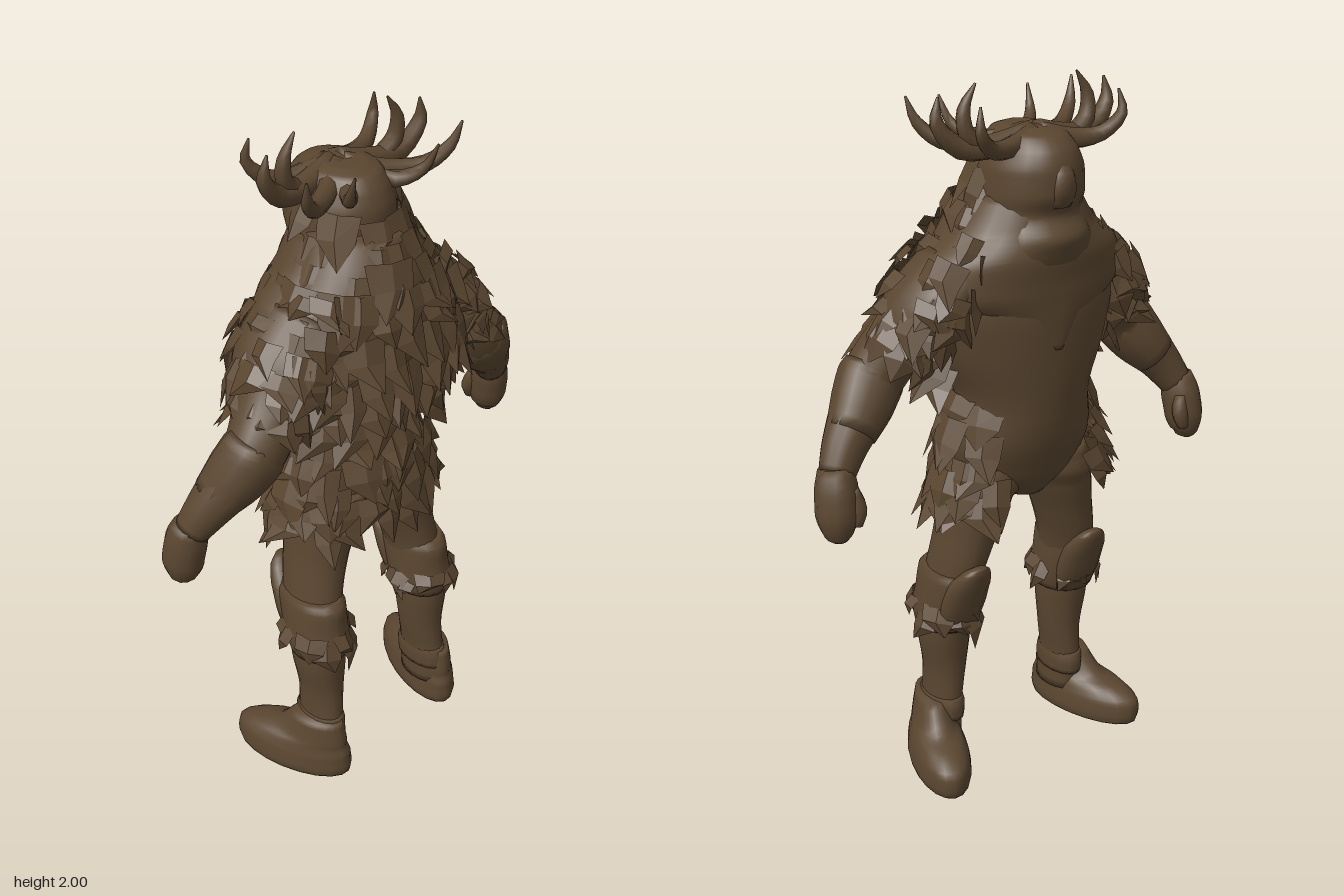
import * as THREE from 'three';

const fur = new THREE.MeshStandardMaterial({ color: 0x5a4630, side: THREE.DoubleSide });
fur.name = 'dark brown';

// Small seeded generator for the irregular fur
let seed = 7;
const rnd = () => (seed = (seed * 16807) % 2147483647) / 2147483647;
const vec = (x, y, z) => new THREE.Vector3(x, y, z);

function addMesh(parent, name, geometry) {
  const mesh = new THREE.Mesh(geometry, fur);
  mesh.name = name;
  parent.add(mesh);
  return mesh;
}

// Smooth closed body through elliptical rings [x, y, z, radius across, radius deep]
function loft(rings, { side = 1, sides = 20, steps = 5, level = false } = {}) {
  const centre = new THREE.CatmullRomCurve3(rings.map(r => vec(r[0] * side, r[1], r[2])));
  const radius = new THREE.CatmullRomCurve3(rings.map(r => vec(r[3], r[4], 0)));
  const count = (rings.length - 1) * steps;
  const pos = [], index = [];
  for (let i = -1; i <= count + 1; i++) {
    const t = Math.min(1, Math.max(0, i / count));
    const c = centre.getPoint(t), r = radius.getPoint(t);
    if (i < 0 || i > count) r.set(0, 0, 0);
    const d = level ? vec(0, 1, 0) : centre.getTangent(t);
    const v = vec(0, 0, 1).addScaledVector(d, -d.z).normalize();
    const u = d.clone().cross(v);
    for (let j = 0; j < sides; j++) {
      const a = (j / sides) * Math.PI * 2;
      const p = c.clone().addScaledVector(u, r.x * Math.cos(a)).addScaledVector(v, r.y * Math.sin(a));
      pos.push(p.x, p.y, p.z);
    }
  }
  for (let i = 0; i < count + 2; i++) {
    for (let j = 0; j < sides; j++) {
      const a = i * sides + j, b = i * sides + (j + 1) % sides;
      index.push(a, a + sides, b, b, a + sides, b + sides);
    }
  }
  const g = new THREE.BufferGeometry();
  g.setAttribute('position', new THREE.Float32BufferAttribute(pos, 3));
  g.setIndex(index);
  g.computeVertexNormals();
  return g;
}

// One ridged pointed lock of fur, lying on a surface and lifting at its tip
function tuft(out, base, normal, down, length, width, lift) {
  const across = normal.clone().cross(down).normalize();
  const at = (s, l, n) => base.clone().addScaledVector(across, s).addScaledVector(down, l).addScaledVector(normal, n);
  const l = at(-width / 2, 0, -0.015), r = at(width / 2, 0, -0.015);
  const top = at(0, 0, 0.004), ridge = at(0, length * 0.45, 0.02);
  const bl = at(-width * 0.45, length * 0.5, 0.004), br = at(width * 0.45, length * 0.5, 0.004);
  const tip = at((rnd() - 0.5) * width * 1.1, length, lift);
  for (const p of [l, bl, top, top, bl, ridge, top, ridge, r, r, ridge, br, bl, tip, ridge, ridge, tip, br]) {
    out.push(p.x, p.y, p.z);
  }
}

// Rows of locks; each row is [x, y, z, rx, rz, half angle measured from +z]
function furRows(rows, { side = 1, spacing = 0.08, length = 0.12, width = 0.11, lift = 0.032, lean = null } = {}) {
  const out = [];
  for (const [x, y, z, rx, rz, half] of rows) {
    const n = Math.max(5, Math.round(half * (rx + rz) / spacing));
    for (let k = 0; k <= n; k++) {
      const a = -half + (2 * half * (k + (rnd() - 0.5) * 0.8)) / n;
      const base = vec(side * x + Math.sin(a) * rx, y + (rnd() - 0.5) * 0.045, z + Math.cos(a) * rz);
      const normal = vec(Math.sin(a) / rx, 0, Math.cos(a) / rz).normalize();
      const down = lean ? vec(lean[0] * side, lean[1], lean[2]) : vec(normal.x * 0.2, -1, normal.z * 0.1);
      down.normalize();
      normal.addScaledVector(down, -normal.dot(down)).normalize();
      tuft(out, base, normal, down, length * (0.7 + rnd() * 0.6), width * (0.75 + rnd() * 0.5), lift * (0.2 + rnd() * 1.2));
    }
  }
  const g = new THREE.BufferGeometry();
  g.setAttribute('position', new THREE.Float32BufferAttribute(out, 3));
  g.computeVertexNormals();
  return g;
}

export function createModel() {
  seed = 7;
  const model = new THREE.Group();
  model.name = 'hornedFurWarrior';

  // Bare torso, with the belly and face towards -z
  addMesh(model, 'torso', loft([
    [0, 0.86, -0.02, 0.07, 0.09], [0, 0.93, -0.02, 0.18, 0.13], [0, 1.04, -0.035, 0.21, 0.15],
    [0, 1.15, -0.04, 0.195, 0.16], [0, 1.3, -0.025, 0.255, 0.185], [0, 1.43, -0.01, 0.29, 0.2],
    [0, 1.54, 0, 0.26, 0.185], [0, 1.64, 0, 0.19, 0.17], [0, 1.74, -0.02, 0.13, 0.14],
  ], { level: true, sides: 28 }));

  // Smooth drape over chest and shoulders, hanging to a point on the chest
  addMesh(model, 'chestDrape', loft([
    [0, 1.32, -0.1, 0.04, 0.115], [0, 1.4, -0.06, 0.19, 0.155], [0, 1.48, -0.035, 0.31, 0.18],
    [0, 1.56, -0.035, 0.285, 0.185], [0, 1.63, -0.04, 0.2, 0.17], [0, 1.72, -0.05, 0.14, 0.14],
  ], { level: true, sides: 24 }));

  // Hooded head with jutting chin and brow, and a narrow nose
  const head = new THREE.Group();
  head.name = 'head';
  model.add(head);
  addMesh(head, 'hood', loft([
    [0, 1.53, -0.07, 0.19, 0.14], [0, 1.58, -0.08, 0.17, 0.15], [0, 1.625, -0.085, 0.145, 0.155],
    [0, 1.675, -0.07, 0.135, 0.14], [0, 1.73, -0.07, 0.135, 0.16], [0, 1.79, -0.07, 0.13, 0.16],
    [0, 1.84, -0.07, 0.108, 0.145], [0, 1.872, -0.065, 0.085, 0.115], [0, 1.885, -0.06, 0.05, 0.07],
  ], { level: true, sides: 24 }));
  addMesh(head, 'nose', loft([
    [0, 1.7, -0.205, 0.03, 0.02], [0, 1.74, -0.215, 0.038, 0.028], [0, 1.79, -0.21, 0.03, 0.03],
    [0, 1.86, -0.15, 0.02, 0.025],
  ], { level: true, sides: 10, steps: 3 }));

  // Layered fur mantle down the back and around the shoulders
  addMesh(model, 'furMantle', furRows([
    [0, 1.79, -0.04, 0.13, 0.145, 1.5], [0, 1.74, -0.02, 0.14, 0.16, 1.6], [0, 1.68, -0.01, 0.17, 0.185, 1.7],
    [0, 1.62, 0, 0.22, 0.195, 1.8], [0, 1.56, 0.01, 0.26, 0.19, 1.8], [0, 1.5, 0.01, 0.29, 0.19, 1.8],
    [0, 1.44, 0.01, 0.31, 0.195, 1.8], [0, 1.38, 0.01, 0.31, 0.19, 1.8], [0, 1.32, 0, 0.295, 0.185, 1.8],
    [0, 1.27, 0, 0.265, 0.17, 1.75],
  ]));

  // Ragged fur kilt, open at the front
  addMesh(model, 'kiltFur', furRows([
    [0, 1.17, -0.025, 0.2, 0.16, 2], [0, 1.1, -0.025, 0.23, 0.17, 2.1], [0, 1.03, -0.025, 0.245, 0.175, 2.25],
    [0, 0.97, -0.025, 0.26, 0.17, 2.4], [0, 0.93, -0.025, 0.27, 0.165, 2.45],
  ], { length: 0.125 }));

  for (const side of [1, -1]) {
    const half = side > 0 ? 'left' : 'right';

    // Arm, with a forearm bracer, fist and thumb
    addMesh(model, half + 'Arm', loft([
      [0.2, 1.53, -0.02, 0.08, 0.13], [0.28, 1.45, -0.01, 0.085, 0.13], [0.345, 1.35, 0.03, 0.08, 0.1],
      [0.405, 1.26, 0.05, 0.084, 0.085], [0.46, 1.19, 0.03, 0.08, 0.08], [0.53, 1.105, 0, 0.062, 0.062],
      [0.572, 1.04, -0.025, 0.05, 0.048],
    ], { side, sides: 16 }));
    addMesh(model, half + 'Bracer', loft([
      [0.4, 1.275, 0.055, 0.084, 0.076], [0.42, 1.245, 0.05, 0.092, 0.086],
      [0.46, 1.19, 0.03, 0.085, 0.084], [0.51, 1.13, 0.005, 0.068, 0.068],
    ], { side, sides: 12, steps: 3 }));
    addMesh(model, half + 'Fist', loft([
      [0.575, 1.06, -0.025, 0.047, 0.045], [0.583, 1, -0.04, 0.057, 0.06], [0.59, 0.94, -0.05, 0.056, 0.06],
      [0.59, 0.89, -0.055, 0.04, 0.045], [0.585, 0.87, -0.055, 0.02, 0.025],
    ], { side, sides: 12, steps: 3 }));
    addMesh(model, half + 'Thumb', loft([
      [0.555, 1.01, -0.07, 0.02, 0.02], [0.545, 0.96, -0.085, 0.024, 0.022], [0.555, 0.915, -0.09, 0.015, 0.016],
    ], { side, sides: 8, steps: 3 }));

    // Fur sleeve from the shoulder to the elbow
    addMesh(model, half + 'SleeveFur', furRows([
      [0.16, 1.61, -0.01, 0.075, 0.13, 2.6], [0.205, 1.56, -0.01, 0.09, 0.145, 2.6],
      [0.24, 1.51, -0.01, 0.1, 0.15, 2.8], [0.27, 1.46, 0, 0.105, 0.145, Math.PI],
      [0.295, 1.41, 0.015, 0.1, 0.125, Math.PI], [0.325, 1.36, 0.03, 0.09, 0.105, Math.PI],
    ], { side, lean: [0.4, -0.9, 0.08], length: 0.095, width: 0.095, spacing: 0.065, lift: 0.025 }));

    // Leg
    addMesh(model, half + 'Leg', loft([
      [0.11, 0.97, -0.01, 0.1, 0.12], [0.135, 0.87, -0.01, 0.1, 0.12], [0.165, 0.76, -0.005, 0.085, 0.105],
      [0.195, 0.64, 0.01, 0.075, 0.1], [0.21, 0.52, 0.04, 0.075, 0.09], [0.212, 0.42, 0.05, 0.075, 0.085],
      [0.21, 0.3, 0.055, 0.06, 0.075], [0.217, 0.2, 0.06, 0.052, 0.08], [0.22, 0.08, 0.07, 0.055, 0.085],
    ], { side, level: true }));

    // Boot cuff, rising in front to a knee guard, with ragged fur hem
    addMesh(model, half + 'BootCuff', loft([
      [0.212, 0.45, 0.05, 0.08, 0.092], [0.211, 0.5, 0.045, 0.088, 0.108], [0.208, 0.56, 0.03, 0.084, 0.112],
      [0.206, 0.62, 0.02, 0.078, 0.118], [0.205, 0.645, 0.015, 0.07, 0.1],
    ], { side, level: true, sides: 18, steps: 3 }));
    addMesh(model, half + 'KneeGuard', loft([
      [0.207, 0.46, -0.02, 0.06, 0.035], [0.205, 0.55, -0.045, 0.072, 0.05],
      [0.203, 0.62, -0.075, 0.066, 0.047], [0.2, 0.67, -0.108, 0.045, 0.028], [0.198, 0.69, -0.122, 0.02, 0.013],
    ], { side, level: true, sides: 12, steps: 3 }));
    addMesh(model, half + 'CuffFur', furRows([
      [0.211, 0.53, 0.045, 0.088, 0.104, Math.PI],
    ], { side, length: 0.085, width: 0.085, lift: 0.004, spacing: 0.06 }));

    // Boot ankle band and foot, toes towards -z and turned out
    addMesh(model, half + 'AnkleBand', loft([
      [0.218, 0.14, 0.062, 0.054, 0.092], [0.218, 0.18, 0.06, 0.056, 0.092], [0.218, 0.21, 0.06, 0.052, 0.082],
    ], { side, level: true, sides: 16, steps: 3 }));
    const foot = loft([
      [0, 0.005, -0.004, 0.082, 0.19], [0, 0.03, -0.005, 0.086, 0.196], [0, 0.075, -0.004, 0.08, 0.192],
      [0, 0.105, 0.015, 0.07, 0.162], [0, 0.13, 0.055, 0.06, 0.12], [0, 0.2, 0.08, 0.045, 0.08],
    ], { level: true, sides: 20, steps: 4 });
    foot.rotateY(-side * 0.32).translate(side * 0.27, 0, 0);
    addMesh(model, half + 'Boot', foot);

    // Branching antler: tines fan from the crown, each tapering to a point
    const antler = new THREE.Group();
    antler.name = half + 'Antler';
    model.add(antler);
    const tines = [
      [[0.01, 1.87, -0.09, 0.03], [0.1, 1.845, -0.075, 0.032], [0.2, 1.845, -0.06, 0.028], [0.262, 1.91, -0.05, 0.02], [0.255, 1.975, -0.045, 0.003]],
      [[0.01, 1.865, -0.07, 0.03], [0.1, 1.84, -0.01, 0.028], [0.19, 1.845, 0.045, 0.022], [0.24, 1.89, 0.08, 0.016], [0.26, 1.955, 0.1, 0.003]],
      [[0.01, 1.865, -0.1, 0.03], [0.1, 1.845, -0.125, 0.027], [0.17, 1.855, -0.15, 0.022], [0.215, 1.905, -0.175, 0.015], [0.21, 1.965, -0.165, 0.003]],
      [[0.14, 1.84, -0.07, 0.026], [0.185, 1.88, -0.065, 0.023], [0.19, 1.94, -0.06, 0.017], [0.155, 2, -0.06, 0.003]],
      [[0.02, 1.85, -0.03, 0.026], [0.08, 1.84, 0.05, 0.022], [0.125, 1.87, 0.1, 0.015], [0.14, 1.94, 0.135, 0.003]],
    ];
    for (const t of tines) {
      addMesh(antler, 'tine', loft(t.map(p => [p[0], p[1], p[2], p[3], p[3]]), { side, sides: 8, steps: 3 }));
    }
  }
  return model;
}
